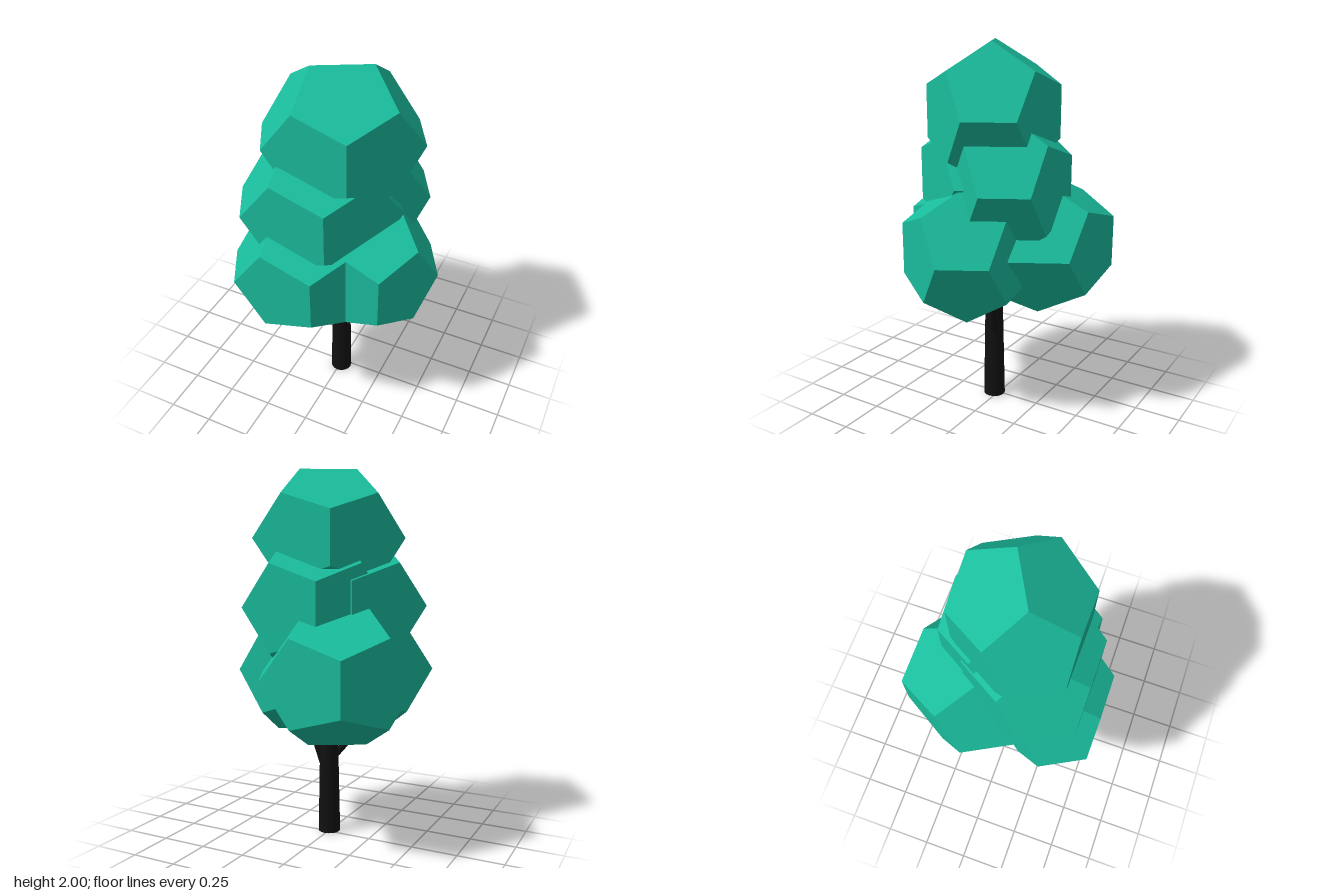
import * as THREE from 'three';

const leafMat = new THREE.MeshStandardMaterial({ color: 0x1abc9c, flatShading: true });
const barkMat = new THREE.MeshStandardMaterial({ color: 0x111111 });

// Foliage clumps: name, centre, stretch along the clump's own axes
const clumps = [
  ['topFoliage', [0.011, 1.635, 0.023], [0.2466, 0.2256, 0.2166]],
  ['middleFrontFoliage', [-0.066, 1.28, 0.113], [0.2547, 0.230, 0.2237]],
  ['middleBackFoliage', [0.039, 1.28, -0.08], [0.2343, 0.230, 0.2058]],
  ['lowerFrontFoliage', [-0.09, 0.926, 0.224], [0.2417, 0.2262, 0.2123]],
  ['lowerLeftFoliage', [0.206, 0.926, 0.062], [0.2066, 0.2262, 0.215]],
  ['lowerBackFoliage', [-0.141, 0.926, -0.174], [0.246, 0.2262, 0.2506]],
];

// Tapered round limb between two points
function limb(name, from, to, r0, r1, sides) {
  const a = new THREE.Vector3(...from);
  const dir = new THREE.Vector3(...to).sub(a);
  const len = dir.length();
  const geo = new THREE.CylinderGeometry(r1, r0, len, sides).translate(0, len / 2, 0);
  const mesh = new THREE.Mesh(geo, barkMat);
  mesh.name = name;
  mesh.position.copy(a);
  mesh.quaternion.setFromUnitVectors(new THREE.Vector3(0, 1, 0), dir.normalize());
  return mesh;
}

export function createModel() {
  const tree = new THREE.Group();
  tree.name = 'tree';

  // Dodecahedral crown, every clump turned the same way
  const leafGeo = new THREE.DodecahedronGeometry(Math.sqrt(3));
  for (const [name, centre, stretch] of clumps) {
    const clump = new THREE.Mesh(leafGeo, leafMat);
    clump.name = name;
    clump.position.set(...centre);
    clump.scale.set(...stretch);
    clump.rotation.y = 0.495;
    tree.add(clump);
  }

  // Trunk and its two forking branches
  tree.add(
    limb('trunk', [0.005, 0, 0.025], [0.008, 0.75, 0.025], 0.061, 0.046, 16),
    limb('rightBranch', [-0.005, 0.42, 0.035], [-0.19, 0.64, 0.11], 0.022, 0.013, 8),
    limb('leftBranch', [0.035, 0.4, 0.01], [0.115, 0.66, -0.03], 0.024, 0.014, 8),
  );
  return tree;
}
